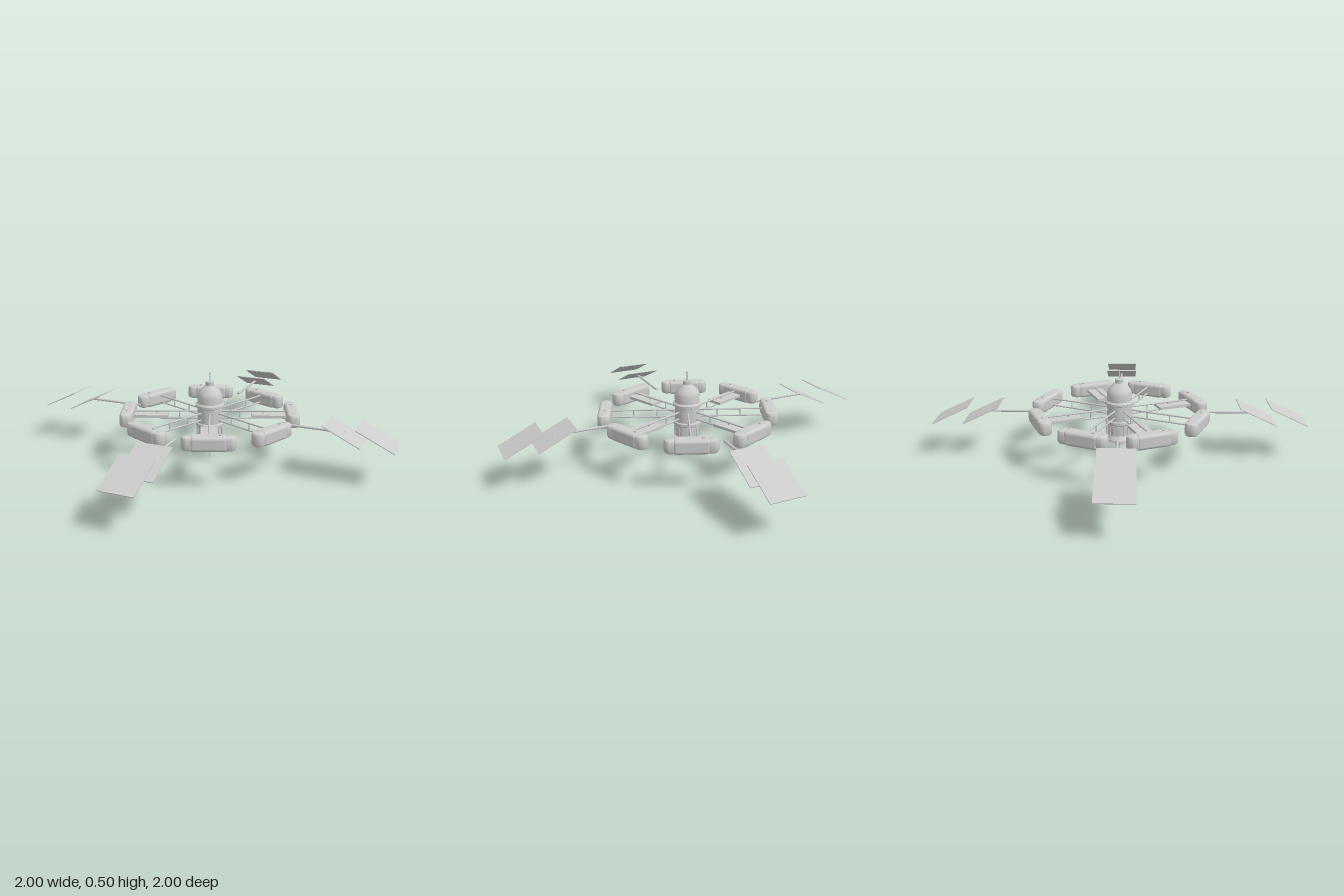
import * as THREE from 'three';
import { RoundedBoxGeometry } from 'three/addons/geometries/RoundedBoxGeometry.js';
import { toCreasedNormals } from 'three/addons/utils/BufferGeometryUtils.js';

const material = new THREE.MeshStandardMaterial({ color: 0xcccccc });
const MID = 0.255; // height of the wheel plane

function add(parent, name, geometry, x = 0, y = 0, z = 0) {
  const mesh = new THREE.Mesh(geometry, material);
  mesh.name = name;
  mesh.position.set(x, y, z);
  parent.add(mesh);
  return mesh;
}

function lathe(points, segments = 32) {
  const profile = points.map(([r, y]) => new THREE.Vector2(r, y));
  return toCreasedNormals(new THREE.LatheGeometry(profile, segments), 0.6);
}

// Rod along local x between two radii
function rod(parent, name, r0, r1, y, radius) {
  const geometry = new THREE.CylinderGeometry(radius, radius, r1 - r0, 8).rotateZ(Math.PI / 2);
  return add(parent, name, geometry, (r0 + r1) / 2, y, 0);
}

function createHub() {
  const hub = new THREE.Group();
  hub.name = 'hub';
  // Main hull with domed top, collars and docking neck
  add(hub, 'hull', lathe([
    [0, 0.13], [0.072, 0.13], [0.072, 0.19], [0.078, 0.195], [0.078, 0.21],
    [0.07, 0.215], [0.07, 0.3], [0.08, 0.305], [0.08, 0.318], [0.07, 0.326],
    [0.07, 0.37], [0.064, 0.385], [0.05, 0.402], [0.033, 0.418], [0.024, 0.426],
    [0.024, 0.447], [0, 0.447],
  ]));
  // Flared skirt and lower neck
  add(hub, 'lowerSkirt', lathe([
    [0, 0.06], [0.025, 0.06], [0.025, 0.09], [0.068, 0.09], [0.068, 0.097], [0.036, 0.135], [0, 0.135],
  ]));
  // Ribs around the lower hull
  for (let i = 0; i < 16; i++) {
    const a = (i / 16) * Math.PI * 2;
    const rib = add(hub, 'hullRib', new THREE.BoxGeometry(0.006, 0.055, 0.01), Math.cos(a) * 0.073, 0.16, Math.sin(a) * 0.073);
    rib.rotation.y = -a;
  }
  // Masts with ball tips
  for (const [y0, y1, tip] of [[0.44, 0.494, 0.494], [0.006, 0.065, 0.006]]) {
    add(hub, 'mast', new THREE.CylinderGeometry(0.003, 0.003, y1 - y0, 8), 0, (y0 + y1) / 2, 0);
    add(hub, 'mastTip', new THREE.SphereGeometry(0.006, 12, 8), 0, tip, 0);
  }
  return hub;
}

// Habitat module lying across the end of a spoke
function createModule() {
  const module = new THREE.Group();
  module.name = 'habitatModule';
  module.position.set(0.46, MID, 0);
  add(module, 'moduleBody', new RoundedBoxGeometry(0.072, 0.08, 0.19, 4, 0.018));
  const cap = lathe([
    [0, -0.037], [0.022, -0.037], [0.031, -0.033], [0.036, -0.023],
    [0.036, 0.023], [0.031, 0.033], [0.022, 0.037], [0, 0.037],
  ], 24);
  for (const side of [-1, 1]) add(module, 'moduleEnd', cap, 0, 0, side * 0.104);
  add(module, 'hatch', new THREE.CylinderGeometry(0.008, 0.008, 0.01, 12), 0, 0.041, -0.06);
  return module;
}

function createSpoke(withRadiator) {
  const spoke = new THREE.Group();
  spoke.name = 'spoke';
  for (const y of [MID - 0.02, MID + 0.02]) rod(spoke, 'spokeRod', 0.05, 0.44, y, 0.005);
  for (const r of [0.17, 0.3]) {
    add(spoke, 'spokeBrace', new THREE.CylinderGeometry(0.004, 0.004, 0.04, 8), r, MID, 0);
  }
  if (withRadiator) add(spoke, 'radiator', new THREE.BoxGeometry(0.2, 0.015, 0.09), 0.333, MID, 0);
  spoke.add(createModule());
  return spoke;
}

// Boom with two overlapping slanted panels
function createSolarWing() {
  const wing = new THREE.Group();
  wing.name = 'solarWing';
  rod(wing, 'wingBoom', 0.445, 0.77, MID, 0.007);
  const rise = 0.098, run = 0.205;
  for (const r of [0.768, 0.938]) {
    const panel = add(wing, 'solarPanel', new THREE.BoxGeometry(Math.hypot(rise, run), 0.004, 0.188), r, MID, 0);
    panel.rotation.z = -Math.atan2(rise, run);
  }
  return wing;
}

export function createModel() {
  const station = new THREE.Group();
  station.name = 'spaceStation';
  station.add(createHub());
  for (let i = 0; i < 8; i++) {
    const spoke = createSpoke(i % 2 === 1);
    spoke.rotation.y = (i * Math.PI) / 4;
    station.add(spoke);
  }
  for (let i = 0; i < 4; i++) {
    const wing = createSolarWing();
    wing.rotation.y = Math.PI / 8 + (i * Math.PI) / 2;
    station.add(wing);
  }
  return station;
}
